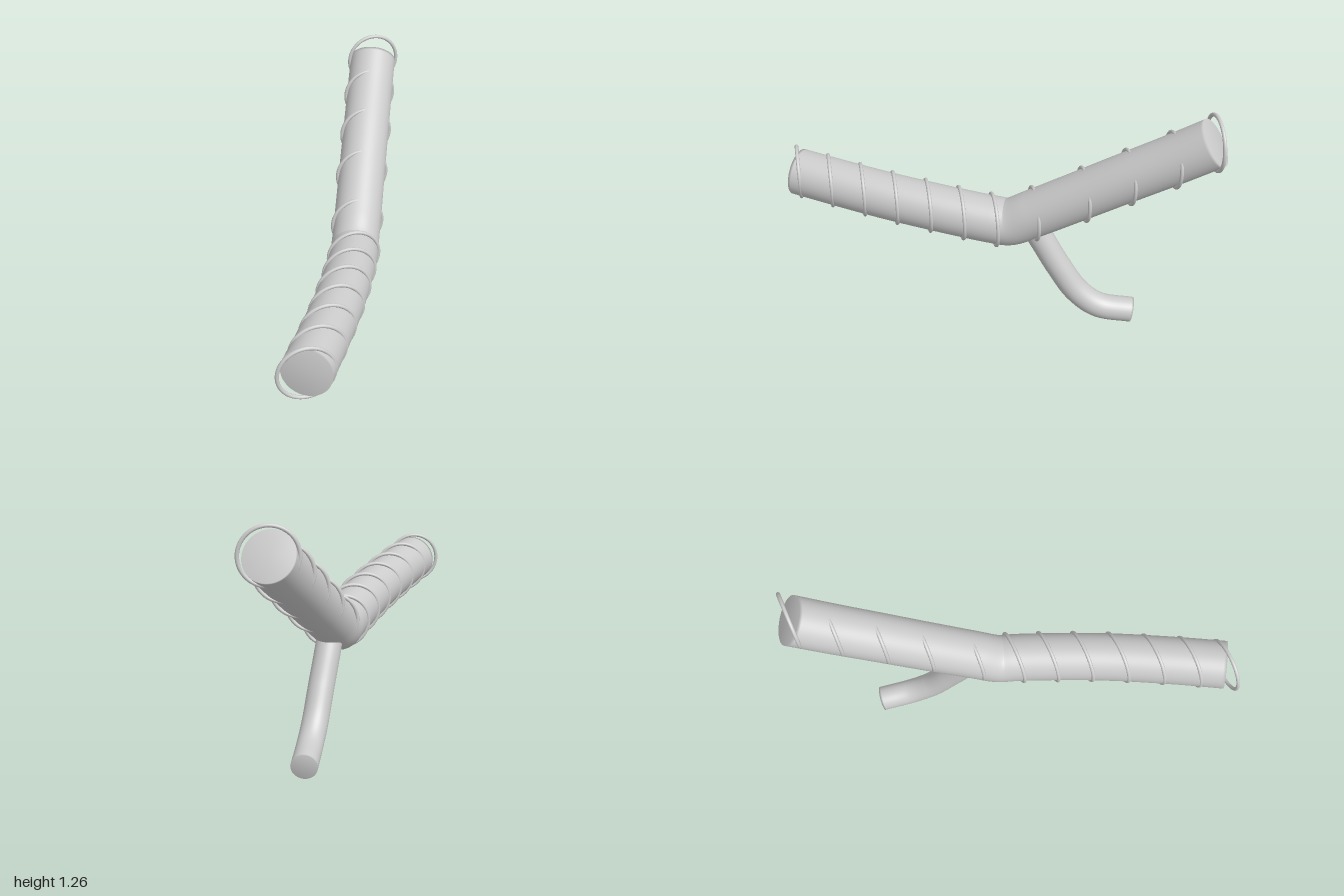
import * as THREE from 'three';
import { mergeVertices } from 'three/addons/utils/BufferGeometryUtils.js';

const material = new THREE.MeshStandardMaterial({ color: 0xcccccc });

// Round tube along a path, closed by a flat cap at each end
function cappedTube(points, radius, segments, sides) {
  const curve = new THREE.CatmullRomCurve3(points);
  const tube = new THREE.TubeGeometry(curve, segments, radius, sides);
  const positions = Array.from(tube.attributes.position.array);
  const index = Array.from(tube.index.array);
  const start = positions.length / 3;
  positions.push(...curve.getPoint(0).toArray(), ...curve.getPoint(1).toArray());
  const last = segments * (sides + 1);
  for (let i = 1; i <= sides; i++) {
    index.push(start, i - 1, i);
    index.push(start + 1, last + i, last + i - 1);
  }
  let geometry = new THREE.BufferGeometry();
  geometry.setAttribute('position', new THREE.Float32BufferAttribute(positions, 3));
  geometry.setIndex(index);
  geometry = mergeVertices(geometry, 1e-5);
  geometry.computeVertexNormals();
  return geometry;
}

const toVectors = (list) => list.map((p) => new THREE.Vector3(...p));

export function createModel() {
  const group = new THREE.Group();
  const add = (name, geometry) => {
    const mesh = new THREE.Mesh(geometry, material);
    mesh.name = name;
    group.add(mesh);
    return mesh;
  };

  // Ring centres along the two arms of the main tube
  const frontArm = toVectors([
    [-0.43, 0.613, 0.932], [-0.34, 0.602, 0.78], [-0.253, 0.59, 0.627], [-0.17, 0.579, 0.475],
    [-0.092, 0.568, 0.32], [-0.02, 0.556, 0.167], [0.047, 0.545, 0.015],
  ]);
  const backArm = toVectors([
    [0.12, 0.612, -0.17], [0.208, 0.76, -0.39], [0.285, 0.89, -0.58],
    [0.36, 1.015, -0.765], [0.428, 1.132, -0.93],
  ]);

  // Bent main tube
  const bend = new THREE.Vector3(0.075, 0.544, -0.06);
  add('mainTube', cappedTube([...frontArm, bend, ...backArm], 0.117, 160, 48));

  // Upright rings around the main tube
  const ringGeometry = new THREE.TorusGeometry(0.128, 0.009, 12, 64);
  [...frontArm, ...backArm].forEach((centre, i) => {
    add(`ring${i + 1}`, ringGeometry).position.copy(centre);
  });

  // Thin curved side branch below the bend
  const branch = toVectors([
    [0.115, 0.57, -0.15], [0.14, 0.46, -0.21], [0.175, 0.32, -0.285],
    [0.212, 0.175, -0.378], [0.245, 0.097, -0.48], [0.28, 0.069, -0.645],
  ]);
  add('sideBranch', cappedTube(branch, 0.063, 80, 32));

  return group;
}
